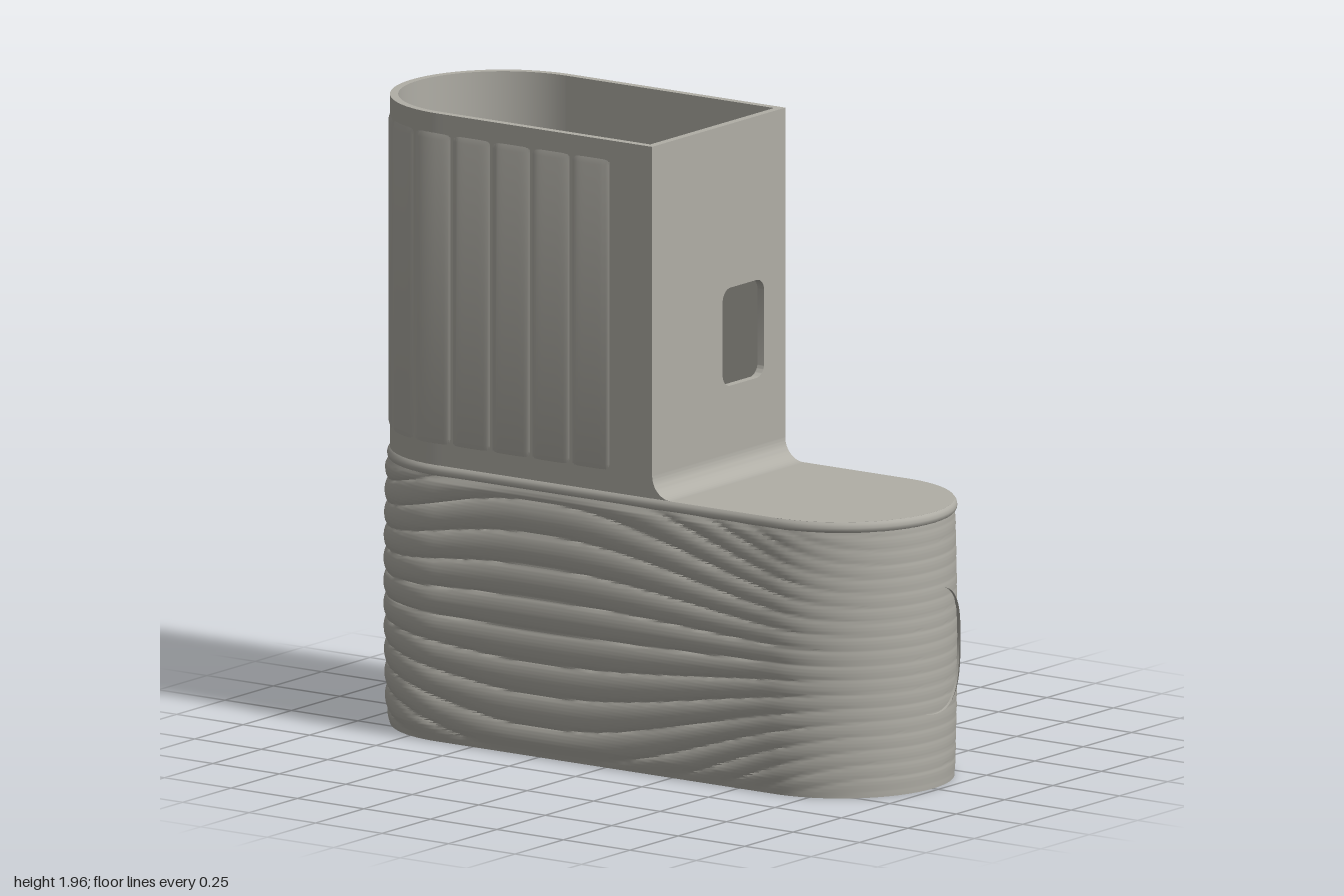
import * as THREE from 'three';
import { toCreasedNormals } from 'three/addons/utils/BufferGeometryUtils.js';

const R = 0.345, C = 0.635, WALL = 0.025;      // end radius, end centre, wall thickness
const DECK = 0.86, TOP = 1.955;                // heights of the deck and the tower
const ARC = Math.PI * R;
const shell = new THREE.MeshStandardMaterial({ color: 0xb0aea6 });
shell.name = 'warm grey';

// Point at length s along an oval outline: front, left round end, back, right round end
function outline(s, off, x0) {
  const L = x0 + C, r = R + off;
  if (s < L) return [x0 - s, r];
  if (s < L + ARC) {
    const a = (s - L) / R;
    return [-C - r * Math.sin(a), r * Math.cos(a)];
  }
  if (s < 2 * L + ARC) return [-C + s - L - ARC, -r];
  const a = (s - 2 * L - ARC) / R;
  return [x0 + r * Math.sin(a), -r * Math.cos(a)];
}

// Grid surface from point(u, v), u and v as indices
function loft(cols, rows, point, crease = 0.6) {
  const pos = [], index = [];
  for (let j = 0; j <= rows; j++) for (let i = 0; i <= cols; i++) pos.push(...point(i, j));
  for (let j = 0; j < rows; j++) for (let i = 0; i < cols; i++) {
    const a = j * (cols + 1) + i, b = a + 1, c = a + cols + 1, d = c + 1;
    index.push(a, c, b, b, c, d);
  }
  const g = new THREE.BufferGeometry();
  g.setAttribute('position', new THREE.Float32BufferAttribute(pos, 3));
  g.setIndex(index);
  return toCreasedNormals(g, crease);
}

// Sweep a profile of [offset, y] pairs along part of an outline
const sweep = (profile, s0, s1, x0, cols) => loft(cols, profile.length - 1, (i, j) => {
  const [x, z] = outline(s0 + (s1 - s0) * i / cols, profile[j][0], x0);
  return [x, profile[j][1], z];
});

function roundRect(path, x0, y0, x1, y1, r) {
  path.moveTo(x0 + r, y0).lineTo(x1 - r, y0);
  path.absarc(x1 - r, y0 + r, r, -Math.PI / 2, 0);
  path.absarc(x1 - r, y1 - r, r, 0, Math.PI / 2);
  path.absarc(x0 + r, y1 - r, r, Math.PI / 2, Math.PI);
  path.absarc(x0 + r, y0 + r, r, Math.PI, Math.PI * 1.5);
  return path;
}

function rect(x0, y0, x1, y1) {
  return new THREE.Shape([[x0, y0], [x1, y0], [x1, y1], [x0, y1]].map(p => new THREE.Vector2(...p)));
}

const extrude = (shape, depth, curveSegments = 12) =>
  new THREE.ExtrudeGeometry(shape, { depth, bevelEnabled: false, curveSegments });

export function createModel() {
  const model = new THREE.Group();
  const add = (name, geometry) => {
    const m = new THREE.Mesh(geometry, shell);
    m.name = name;
    model.add(m);
    return m;
  };
  const smooth = THREE.MathUtils.smoothstep;

  // Rippled sleeve: ridges spread at the middle and gather toward both ends
  const round = 4 * C + 2 * ARC, cols = 200, rows = 160, sleeveTop = 0.838;
  add('rippledSleeve', loft(cols, rows, (i, j) => {
    const s = round * i / cols, y = sleeveTop * j / rows;
    const x = outline(s, 0, C)[0];
    const gather = 1 - 0.56 * smooth(x, -0.2, 0.95) - 0.3 * smooth(-x, 0.3, 1);
    const ridge = Math.abs(Math.sin(Math.PI * ((y - 0.43) / gather / 0.1 + 0.35)));
    const edge = Math.min(1, y / 0.05, (sleeveTop - y) / 0.03);
    const amp = 0.013 * (1 - 0.85 * smooth(x, 0.3, 0.93)) * edge;
    const off = 0.007 * Math.sin(Math.PI * y / DECK) + amp * Math.sqrt(ridge);
    const [px, pz] = outline(s, off, C);
    return [px, y, pz];
  }, 0.7));

  // Bead under the deck, inner wall and bottom edge
  add('sleeveRimAndLining', sweep([[0, 0.825], [0.007, 0.832], [0.009, 0.842], [0.006, 0.853], [0, DECK],
    [-WALL, DECK], [-WALL, 0], [0, 0]], 0, round, C, 120));

  // Deck beside the tower
  const deck = new THREE.Shape();
  deck.moveTo(0.15, -R).lineTo(C, -R);
  deck.absarc(C, 0, R, -Math.PI / 2, Math.PI / 2);
  deck.lineTo(0.15, R);
  add('deck', toCreasedNormals(extrude(deck, 0.02, 48).rotateX(-Math.PI / 2).translate(0, DECK - 0.02, 0), 0.5));

  // Tower: front wall with round end
  const TX = 0.175, towerL = TX + C;
  add('towerFrontAndRoundEnd', sweep([[0, 0.85], [0, TOP], [-WALL, TOP], [-WALL, 0.85], [0, 0.85]],
    0, towerL + ARC, TX, 80));

  // Tower back wall with the hole grid
  const back = rect(-C, 0.85, TX, TOP);
  const hole = (x, y, r) => back.holes.push(new THREE.Path().absarc(x, y, r, 0, Math.PI * 2, true));
  for (let i = 0; i < 5; i++) for (let j = 0; j < 5; j++) hole(-0.21 - 0.093 * i, 1.128 + 0.085 * j, 0.021);
  hole(-0.075, 1.29, 0.03);
  add('towerBackWall', toCreasedNormals(extrude(back, WALL).translate(0, 0, -R), 0.6));

  // Tower flat side wall with a rounded window
  const side = rect(-R, 0.85, R, TOP);
  side.holes.push(roundRect(new THREE.Path(), 0.02, 1.14, 0.235, 1.445, 0.04));
  add('towerSideWall', toCreasedNormals(extrude(side, WALL).rotateY(Math.PI / 2).translate(TX - WALL, 0, 0), 0.6));

  // Shallow upright ribs around the tower
  const pitch = 0.1497, n = 16;
  const ribs = (name, from, to, y0, y1) => {
    const levels = [[y0, 0], [y0 + 0.025, 1], [y1 - 0.025, 1], [y1, 0]];
    add(name, loft((to - from) * n, 3, (i, j) => {
      const f = (i % n) / n, bump = 1 - Math.pow(Math.abs(2 * f - 1), 6);
      const [x, z] = outline(0.155 + pitch * (from + i / n), -0.002 + 0.007 * bump * levels[j][1], TX);
      return [x, levels[j][0], z];
    }, 0.4));
  };
  ribs('towerRibs', 0, 11, 0.92, 1.9);
  ribs('backRibsUpper', 11, 16, 1.6, 1.9);
  ribs('backRibsLower', 11, 16, 0.91, 0.975);

  // Raised frame round the hole grid, with a fine inner step
  const frame = (name, inset, width, z) => {
    const x0 = -0.73 + inset, y0 = 0.96 + inset, x1 = 0.145 - inset, y1 = 1.61 - inset, r = 0.1 - inset;
    const s = roundRect(new THREE.Shape(), x0, y0, x1, y1, r);
    s.holes.push(roundRect(new THREE.Path(), x0 + width, y0 + width, x1 - width, y1 - width, r - width));
    add(name, toCreasedNormals(extrude(s, z - 0.328).translate(0, 0, -z), 0.5));
  };
  frame('panelFrame', 0, 0.035, 0.356);
  frame('panelFrameStep', 0.03, 0.025, 0.35);

  // Fillet where the tower meets the deck
  const fillet = new THREE.Shape();
  fillet.moveTo(0.17, 0.85).lineTo(0.245, 0.85).lineTo(0.245, DECK);
  fillet.absarc(0.245, 0.93, 0.07, -Math.PI / 2, Math.PI, true);
  fillet.lineTo(0.17, 0.93);
  add('fillet', toCreasedNormals(extrude(fillet, 2 * R - 0.002).translate(0, 0, -R + 0.001), 0.5));

  // Round badge wrapped over the right end
  const badge = [[0.195, 0.32], [0.195, 0.36], [0.188, 0.365], [0.14, 0.365], [0.09, 0.365], [0.045, 0.365], [0, 0.365]];
  add('roundBadge', loft(64, badge.length - 1, (i, j) => {
    const a = Math.PI * 2 * i / 64, [r, bend] = badge[j];
    const z = r * Math.sin(a);
    return [C + Math.sqrt(bend * bend - z * z), 0.43 + r * Math.cos(a), z];
  }, 0.4));

  return model;
}
